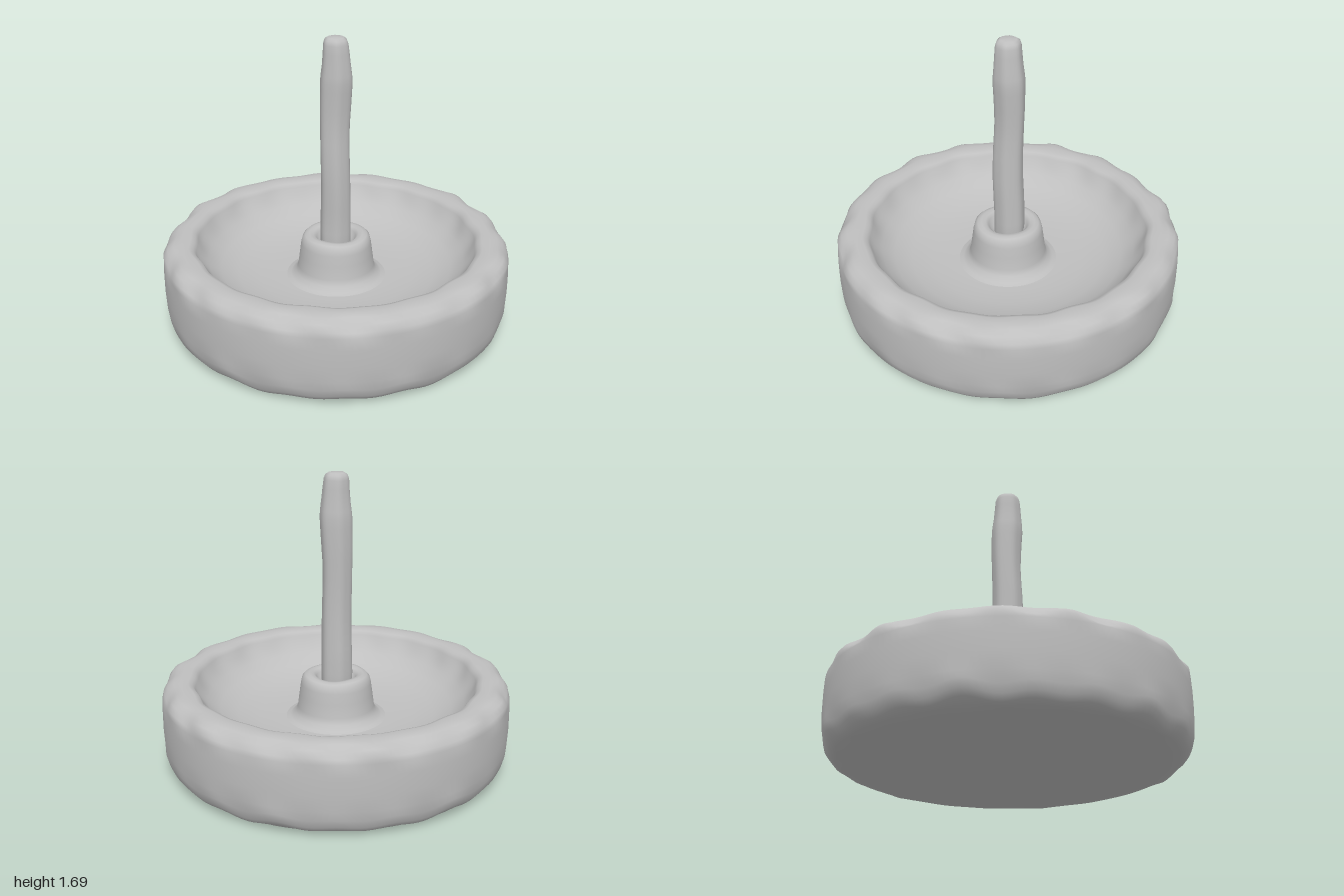
import * as THREE from 'three';
import { mergeVertices } from 'three/addons/utils/BufferGeometryUtils.js';

// Turned solid whose vertices are nudged by a rule, with seamless smooth normals
function turned(profile, segments, nudge) {
  let g = new THREE.LatheGeometry(profile.map(([r, y]) => new THREE.Vector2(r, y)), segments);
  g.deleteAttribute('uv');
  g.deleteAttribute('normal');
  const p = g.attributes.position;
  const v = new THREE.Vector3();
  for (let i = 0; i < p.count; i++) {
    v.fromBufferAttribute(p, i);
    nudge(v, Math.hypot(v.x, v.z), Math.atan2(v.x, v.z));
    p.setXYZ(i, v.x, v.y, v.z);
  }
  g = mergeVertices(g, 1e-4);
  g.computeVertexNormals();
  return g;
}

// Irregular ripple around the circle, roughly -1..1
const ripple = (a, s) =>
  0.5 * Math.sin(19 * a + s) + 0.3 * Math.sin(13 * a + 2.3 * s) + 0.2 * Math.sin(7 * a + 4.1 * s);

export function createModel() {
  const model = new THREE.Group();
  const stone = new THREE.MeshStandardMaterial({ color: 0xbfbfbf });
  stone.name = 'pale grey';

  const add = (name, geometry) => {
    const mesh = new THREE.Mesh(geometry, stone);
    mesh.name = name;
    model.add(mesh);
  };

  // Thick round dish with a hollowed bowl and worn edges
  const dish = [
    [0, 0.012], [0.5, 0.012], [0.86, 0.016], [0.915, 0.02], [0.95, 0.034], [0.975, 0.065],
    [0.987, 0.11], [0.995, 0.17], [1, 0.26], [1, 0.36], [0.997, 0.43], [0.988, 0.47],
    [0.965, 0.5], [0.93, 0.514], [0.89, 0.518], [0.845, 0.517], [0.82, 0.508], [0.805, 0.485],
    [0.785, 0.445], [0.74, 0.39], [0.67, 0.34], [0.57, 0.3], [0.45, 0.277], [0.33, 0.268],
    [0.25, 0.268], [0, 0.268],
  ];
  add('dish', turned(dish, 160, (v, r, a) => {
    if (r > 0.9 && r < 0.99 && v.y < 0.15) {
      // chipped lower edge
      const k = 1 + 0.012 * ripple(a, 1.7);
      v.x *= k;
      v.z *= k;
      v.y += 0.018 * (ripple(a, 1.7) + 0.4) * (v.y > 0.03 ? 1 : 0.3);
    } else if (r > 0.92 && r < 0.995 && v.y > 0.4) {
      // chipped upper edge
      const k = 1 + 0.014 * ripple(a, 4.2);
      v.x *= k;
      v.z *= k;
      v.y -= 0.012 * (1 - ripple(a, 4.2)) * (r > 0.95 ? 1 : 0.2);
    } else if (r > 0.76 && r < 0.86 && v.y > 0.4) {
      // uneven inner lip
      const k = 1 + 0.012 * ripple(a, 2.9);
      v.x *= k;
      v.z *= k;
    } else if (v.y < 0.05) {
      v.y += 0.009 * Math.sin(3 * a + 1) * Math.min(r, 1);
    }
    v.y = Math.max(v.y, 0);
  }));

  // Raised collar around the shaft, with a fillet into the bowl
  const collar = [
    [0.31, 0.262], [0.265, 0.275], [0.235, 0.3], [0.222, 0.335], [0.212, 0.41], [0.203, 0.475],
    [0.195, 0.508], [0.178, 0.525], [0.155, 0.531], [0.13, 0.527], [0.112, 0.512],
    [0.102, 0.485], [0.08, 0.47],
  ];
  add('collar', turned(collar, 64, (v, r, a) => {
    v.y += v.y > 0.5 ? 0.003 * Math.sin(3 * a) : 0;
  }));

  // Tall, slightly crooked shaft with a tapered end
  const shaft = [
    [0, 0.3], [0.088, 0.3], [0.088, 0.55], [0.087, 0.7], [0.085, 0.85], [0.084, 1], [0.083, 1.1],
    [0.083, 1.2], [0.086, 1.3], [0.088, 1.4], [0.089, 1.45], [0.086, 1.49], [0.08, 1.54],
    [0.074, 1.61], [0.07, 1.66], [0.062, 1.685], [0.045, 1.696], [0, 1.698],
  ];
  add('shaft', turned(shaft, 32, (v, r, a) => {
    // gentle facets and a small sideways wander
    const k = 1 + 0.03 * Math.cos(6 * a) + 0.015 * Math.sin(2 * a + v.y * 7);
    v.x = v.x * k - 0.006 + 0.005 * Math.sin(v.y * 9);
    v.z = v.z * k + 0.004 * Math.sin(v.y * 7 + 1);
  }));

  return model;
}
